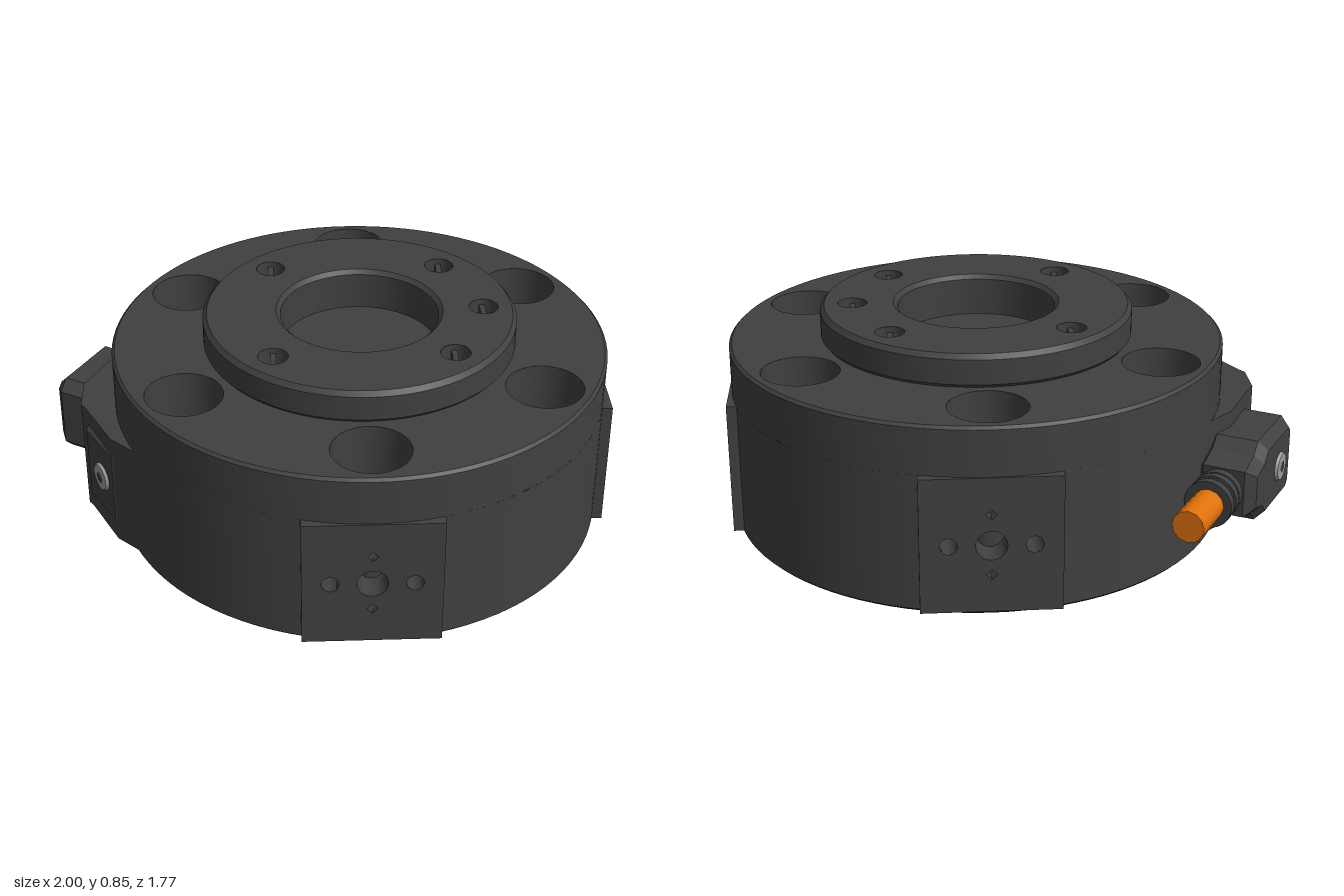
import * as THREE from 'three';
import { toCreasedNormals } from 'three/addons/utils/BufferGeometryUtils.js';

const mat = (name, color) => {
  const m = new THREE.MeshStandardMaterial({ color, side: THREE.DoubleSide });
  m.name = name;
  return m;
};
const V = (x, y) => new THREE.Vector2(x, y);
const TAU = Math.PI * 2, DEG = Math.PI / 180;

export function createModel() {
  const dark = mat('darkGrey', 0x404040);
  const orange = mat('cableOrange', 0xe0720c);
  const steel = mat('steel', 0x9a9a9a);

  const model = new THREE.Group();
  const sensor = new THREE.Group();
  sensor.name = 'sensor';
  sensor.position.x = 0.11;
  model.add(sensor);

  const add = (parent, name, geo, material = dark, x = 0, y = 0, z = 0) => {
    const m = new THREE.Mesh(geo, material);
    m.name = name;
    m.position.set(x, y, z);
    parent.add(m);
    return m;
  };
  const lathe = (pts, seg = 96, start = 0, len = TAU) =>
    toCreasedNormals(new THREE.LatheGeometry(pts.map(p => V(...p)), seg, start, len), 0.5);
  const hole = (x, y, r) => new THREE.Path().absarc(x, y, r, 0, TAU, true);
  const disc = (r, holes) => {
    const s = new THREE.Shape().absarc(0, 0, r, 0, TAU);
    s.holes = holes.map(h => hole(...h));
    return new THREE.ShapeGeometry(s, 48).rotateX(-Math.PI / 2);
  };

  // Main drum: full bands above and below the side pads, arcs between them
  add(sensor, 'drumUpperBand', lathe([[0.88, 0.56], [0.88, 0.723], [0.87, 0.733]]));
  add(sensor, 'drumLowerBand', lathe([[0.87, 0.067], [0.88, 0.077], [0.88, 0.08]]));
  for (const [a, b] of [[15.5, 74.5], [105.5, 164.5], [195.5, 344.5]])
    add(sensor, 'drumWall', lathe([[0.88, 0.08], [0.88, 0.56]], 40, a * DEG, (b - a) * DEG));

  // Counterbored mounting holes
  const bolts = [];
  for (let i = 0; i < 6; i++) {
    const a = (30 + 60 * i) * DEG;
    bolts.push([0.71 * Math.cos(a), 0.71 * Math.sin(a)]);
  }
  add(sensor, 'drumTop', disc(0.87, [[0, 0, 0.545], ...bolts.map(b => [...b, 0.135])]), dark, 0, 0.733);
  add(sensor, 'drumBottom', disc(0.87, bolts.map(b => [...b, 0.08])), dark, 0, 0.067);
  const boltBore = lathe([[0.08, 0.067], [0.08, 0.45], [0.135, 0.45], [0.135, 0.733]], 40);
  for (const [x, z] of bolts) add(sensor, 'mountingHole', boltBore, dark, x, 0, z);

  // Raised top flange with a shallow bore and small tool holes
  const tools = [[0.44, 0], [0.31, 0.31], [0.31, -0.31], [-0.31, 0.31], [-0.31, -0.31]];
  add(sensor, 'topFlangeRim', lathe([[0.545, 0.733], [0.555, 0.745], [0.555, 0.833], [0.54, 0.85]]));
  add(sensor, 'topFlangeFace', disc(0.54, [[0, 0, 0.295], ...tools.map(t => [...t, 0.052])]), dark, 0, 0.85);
  add(sensor, 'centreBore', lathe([[0, 0.7], [0.28, 0.7], [0.28, 0.835], [0.295, 0.85]]));
  const toolBore = lathe([[0, 0.78], [0.052, 0.78], [0.052, 0.85]], 24);
  for (const [x, z] of tools) {
    add(sensor, 'toolHole', toolBore, dark, x, 0, z);
    add(sensor, 'toolHoleKey', new THREE.BoxGeometry(0.02, 0.05, 0.1), dark, x, 0.805, z);
  }

  // Bottom boss and scalloped cover with its twelve screws
  add(sensor, 'bottomBoss', lathe([[0, 0], [0.425, 0], [0.44, 0.015], [0.44, 0.067]]));
  const wave = [];
  for (let i = 0; i < 144; i++) {
    const a = i / 144 * TAU, r = 0.59 + 0.035 * Math.cos(12 * (a - 15 * DEG));
    wave.push(V(r * Math.cos(a), r * Math.sin(a)));
  }
  const cover = new THREE.Shape(wave);
  cover.holes.push(hole(0, 0, 0.43));
  add(sensor, 'bottomCover', new THREE.ExtrudeGeometry(cover, { depth: 0.007, bevelEnabled: false, curveSegments: 48 })
    .rotateX(-Math.PI / 2), dark, 0, 0.06);
  for (let i = 0; i < 12; i++) {
    const a = (15 + 30 * i) * DEG;
    add(sensor, 'coverScrew', new THREE.CylinderGeometry(0.022, 0.022, 0.01, 12), dark,
      0.6 * Math.cos(a), 0.057, 0.6 * Math.sin(a));
  }

  // A group whose +z points outwards from the drum
  const sideFrame = (name, angle) => {
    const g = new THREE.Group();
    g.name = name;
    g.rotation.y = angle * DEG;
    sensor.add(g);
    return g;
  };

  // Flat side pads with drilled holes
  const padHoles = [[0, 0.32, 0.052, 24], [-0.14, 0.32, 0.031, 8], [0.14, 0.32, 0.031, 8],
    [0, 0.43, 0.019, 4], [0, 0.215, 0.019, 4]];
  const ngon = (x, y, r, n) => Array.from({ length: n }, (_, i) =>
    V(x + r * Math.sin(i / n * TAU), y + r * Math.cos(i / n * TAU)));
  const padShape = new THREE.Shape([V(-0.235, 0.08), V(0.235, 0.08), V(0.235, 0.56), V(-0.235, 0.56)]);
  padShape.holes = padHoles.map(h => new THREE.Path(ngon(...h)));
  const padGeo = new THREE.ExtrudeGeometry(padShape, { depth: 0.04, bevelEnabled: false });
  for (const angle of [0, 90, 180]) {
    const g = sideFrame('sidePad', angle);
    add(g, 'padPlate', padGeo, dark, 0, 0, 0.845);
    padHoles.forEach(([x, y, r, n], i) => {
      const side = i === 1 || i === 2;
      if (side && angle === 180) return; // shared with the opposite pad
      const through = side && angle === 0;
      const depth = through ? 1.77 : side ? 0.2 : i === 0 ? 0.12 : 0.05;
      const tube = new THREE.CylinderGeometry(r, r, depth, n, 1, true).rotateX(Math.PI / 2);
      add(g, 'padHole', tube, dark, x, y, 0.885 - depth / 2);
      if (!through) add(g, 'padHoleFloor', new THREE.CircleGeometry(r, n), dark, x, y, 0.885 - depth);
    });
  }

  // Connector bracket wrapped on the side of the drum
  const half = [[-0.7, 0.4], [-0.79, 0.385], [-0.88, 0.3], [-0.98, 0.1], [-1, 0.07]];
  const outline = [...half, ...half.map(([x, z]) => [x, -z]).reverse()].map(p => V(...p));
  add(sensor, 'connectorBracket', new THREE.ExtrudeGeometry(new THREE.Shape(outline), { depth: 0.43, bevelEnabled: false })
    .rotateX(-Math.PI / 2), dark, 0, 0.09);

  const bevelled = (pts, depth, bevel) => new THREE.ExtrudeGeometry(new THREE.Shape(pts.map(p => V(...p))),
    { depth, bevelEnabled: true, bevelSegments: 1, bevelSize: bevel, bevelOffset: -bevel, bevelThickness: bevel });
  const screw = (g, x, y, z) => {
    add(g, 'bracketScrew', new THREE.CylinderGeometry(0.048, 0.055, 0.014, 24).rotateX(Math.PI / 2), steel, x, y, z);
    add(g, 'screwSocket', new THREE.CircleGeometry(0.022, 6), dark, x, y, z + 0.009);
  };

  // Blank cover on the front slope of the bracket
  const blank = sideFrame('blankCover', 300);
  add(blank, 'blankPlate', bevelled([[-0.39, 0.16], [-0.17, 0.16], [-0.17, 0.46], [-0.39, 0.46]], 0.03, 0.012), dark, 0, 0, 0.873);
  screw(blank, -0.27, 0.31, 0.918);

  // Plug housing on the back slope, with strain relief and cable
  const plug = sideFrame('plug', 240);
  add(plug, 'plugHousing', bevelled([[-0.03, 0.225], [0.06, 0.2], [0.1, 0.16], [0.36, 0.16], [0.4, 0.2],
    [0.4, 0.42], [0.36, 0.46], [0.1, 0.46], [0.06, 0.42], [-0.03, 0.395]], 0.15, 0.035), dark, 0, 0, 0.89);
  screw(plug, 0.255, 0.31, 1.078);
  const rod = (name, r, from, to, material, n = 24) =>
    add(plug, name, new THREE.CylinderGeometry(r, r, to - from, n).rotateZ(Math.PI / 2), material, (from + to) / 2, 0.31, 0.955);
  rod('plugNeck', 0.08, -0.06, 0.05, dark);
  for (const u of [-0.105, -0.155]) rod('strainRing', 0.085, u, u + 0.028, dark);
  for (const s of [-1, 1])
    add(plug, 'strainRib', new THREE.BoxGeometry(0.12, 0.03, 0.03), dark, -0.09, 0.31 + s * 0.062, 0.955);
  rod('cable', 0.057, -0.345, 0, orange, 12);

  return model;
}
